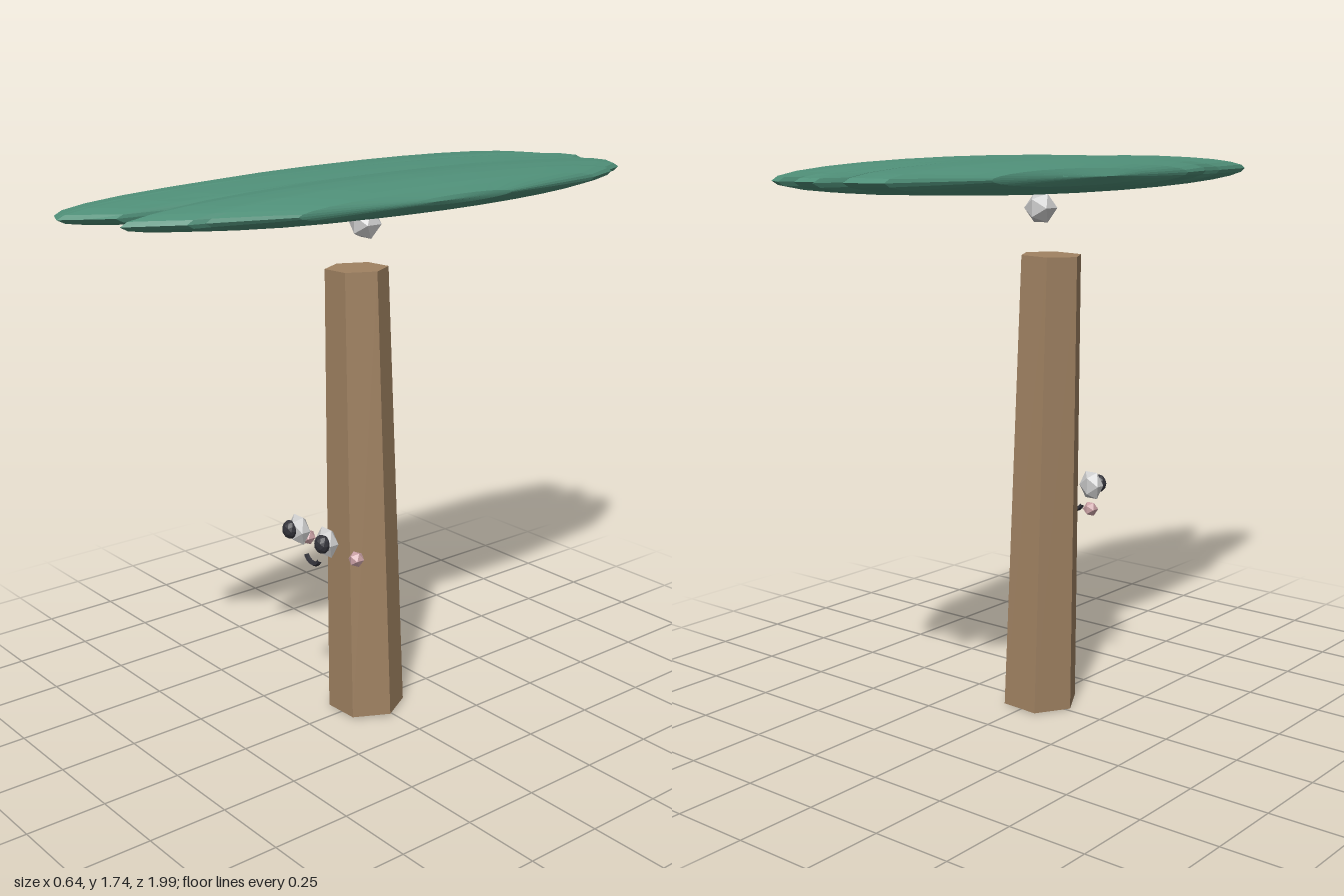
import * as THREE from 'three';

const mat = (color) => new THREE.MeshStandardMaterial({ color, flatShading: true });

function add(parent, name, geometry, material, x, y, z) {
  const mesh = new THREE.Mesh(geometry, material);
  mesh.name = name;
  mesh.position.set(x, y, z);
  parent.add(mesh);
  return mesh;
}

// Linear interpolation along a polyline of [x, z] points
function sample(line, x) {
  for (let i = 1; i < line.length; i++) {
    const [x0, z0] = line[i - 1], [x1, z1] = line[i];
    if (x <= x1) return z0 + (z1 - z0) * (x - x0) / (x1 - x0);
  }
  return line[line.length - 1][1];
}

// Flat, lens-shaped canopy with ragged, notched ends
function canopyGeometry() {
  const back = [[-0.32, -0.1], [-0.3, -0.57], [-0.23, -0.9], [-0.13, -0.945], [-0.115, -0.87], [-0.1, -0.73],
    [-0.095, -0.91], [-0.08, -1], [-0.04, -0.93], [0.02, -0.97], [0.045, -0.84], [0.07, -0.98], [0.15, -0.93],
    [0.19, -0.84], [0.21, -0.83], [0.265, -0.69], [0.315, -0.28], [0.32, -0.02]];
  const front = [[-0.32, -0.06], [-0.28, 0.4], [-0.22, 0.6], [-0.21, 0.7], [-0.15, 0.96], [-0.08, 0.99], [0, 0.86],
    [0.02, 0.65], [0.05, 0.79], [0.12, 0.92], [0.2, 0.77], [0.21, 0.72], [0.29, 0.48], [0.315, 0.1], [0.32, 0.02]];
  const xs = [...new Set([...back, ...front].map((p) => p[0]))].sort((a, b) => a - b);
  const rows = 14, n = rows + 1, position = [], index = [];

  for (const side of [1, -1]) {
    const base = position.length / 3;
    xs.forEach((x, i) => {
      const z0 = sample(back, x), z1 = sample(front, x), ax = Math.abs(x);
      // Two lobes side by side, dipping where they meet
      const lobe = ax > 0.14 ? Math.sqrt(Math.max(0, 1 - ((ax - 0.14) / 0.18) ** 2))
        : 1 - (side > 0 ? 0.25 : 0) * (1 - ax / 0.14) ** 2;
      for (let j = 0; j <= rows; j++) {
        const s = -Math.cos(Math.PI * j / rows);
        const h = 0.054 * lobe * Math.sqrt(Math.max(0, 1 - s * s));
        position.push(x, 1.693 + side * h, (z0 + z1) / 2 + s * (z1 - z0) / 2);
        if (i < xs.length - 1 && j < rows) {
          const a = base + i * n + j, b = a + 1, c = a + n, d = c + 1;
          index.push(...(side > 0 ? [a, b, c, b, d, c] : [a, c, b, b, c, d]));
        }
      }
    });
  }
  const g = new THREE.BufferGeometry();
  g.setAttribute('position', new THREE.Float32BufferAttribute(position, 3));
  g.setIndex(index);
  g.computeVertexNormals();
  return g;
}

export function createModel() {
  const model = new THREE.Group();
  model.name = 'tree';
  const bark = mat(0xa08262), leaf = mat(0x4f8f78), grey = mat(0xcccccc);
  const dark = mat(0x33333a), pink = mat(0xc9a0a4);

  // Leaning, tapered six-sided trunk
  const trunkShape = new THREE.CylinderGeometry(0.098, 0.123, 1.445, 6).rotateY(Math.PI / 6);
  const trunk = add(model, 'trunk', trunkShape, bark, -0.02, 0.728, 0.015);
  trunk.rotation.z = 0.03;

  add(model, 'canopy', canopyGeometry(), leaf, 0, 0, 0);
  add(model, 'nut', new THREE.IcosahedronGeometry(0.051, 0), grey, 0, 1.59, 0.015);

  // Face in front of the trunk, mirrored about its own centre line
  const face = new THREE.Group();
  face.name = 'face';
  face.position.x = 0.06;
  model.add(face);
  for (const [side, label] of [[1, 'left'], [-1, 'right']]) {
    const eye = add(face, label + 'Eye', new THREE.IcosahedronGeometry(0.049, 0), grey, side * 0.069, 0.675, 0.273);
    eye.scale.set(0.9, 1.06, 0.6);
    const pupil = add(face, label + 'Pupil', new THREE.IcosahedronGeometry(0.03, 1), dark, side * 0.08, 0.678, 0.299);
    pupil.scale.set(0.9, 1, 0.75);
    add(face, label + 'Cheek', new THREE.IcosahedronGeometry(0.025, 0), pink, side * 0.12, 0.617, 0.2);
  }

  // Smile
  const smile = new THREE.TorusGeometry(0.038, 0.008, 5, 8, Math.PI * 0.7).rotateZ(Math.PI * 1.15);
  add(face, 'mouth', smile, dark, 0, 0.622, 0.272);

  return model;
}
